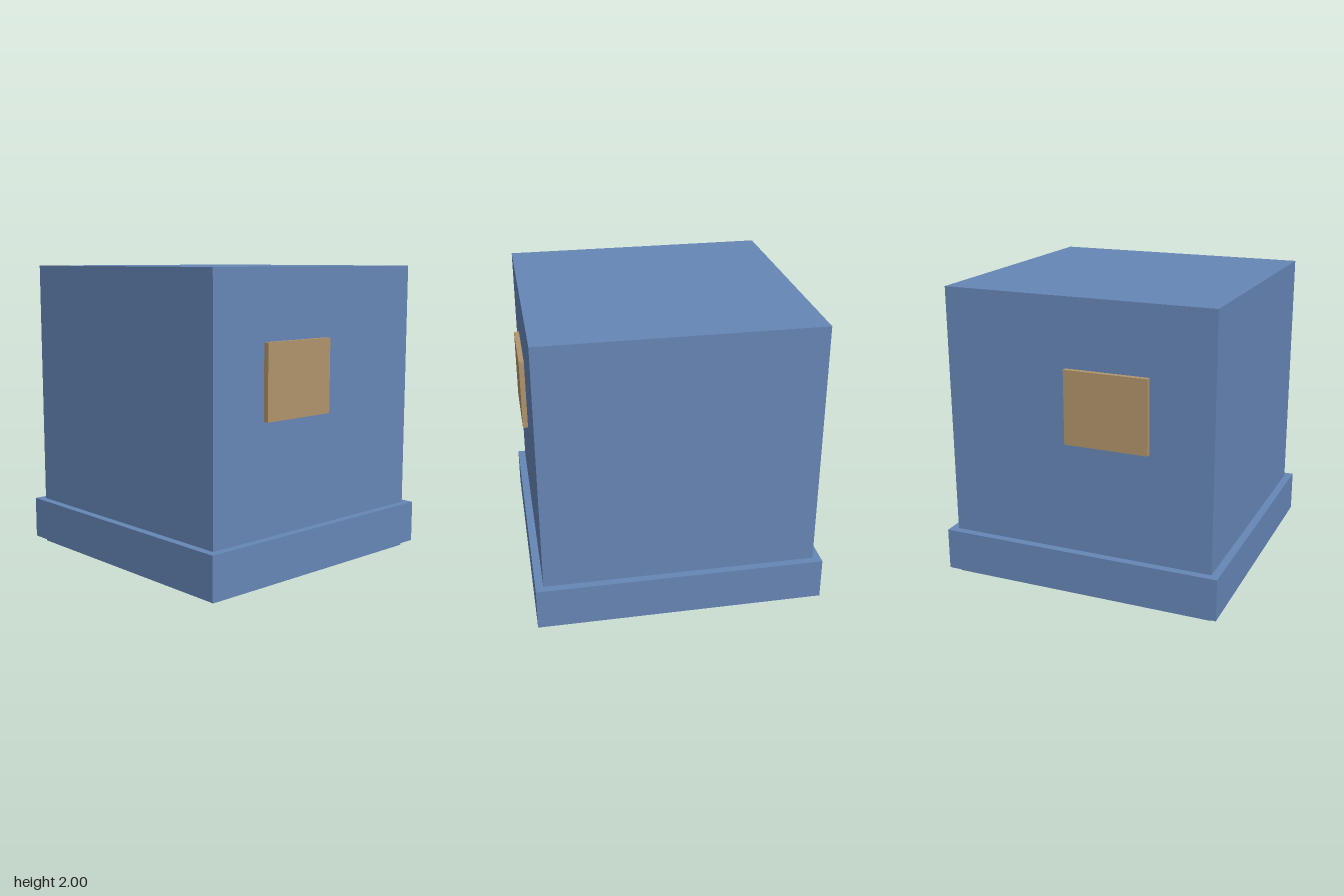
import * as THREE from 'three';

export function createModel() {
  const model = new THREE.Group();
  const blue = new THREE.MeshStandardMaterial({ color: 0x6686b6 });
  blue.name = 'blue';
  const tan = new THREE.MeshStandardMaterial({ color: 0xb0946c });
  tan.name = 'tan';

  // Box given by its size and centre
  function addBox(name, material, [w, h, d], [x, y, z]) {
    const mesh = new THREE.Mesh(new THREE.BoxGeometry(w, h, d), material);
    mesh.name = name;
    mesh.position.set(x, y, z);
    model.add(mesh);
  }

  // Main block and the wider band around its foot
  addBox('body', blue, [1.824, 2, 1.824], [0, 1, 0]);
  addBox('baseBand', blue, [1.93, 0.283, 1.93], [0, 0.178, 0]);

  // Raised panels, one on the front and one on the back
  for (const [name, side] of [['frontPanel', 1], ['backPanel', -1]]) {
    addBox(name, tan, [0.563, 0.49, 0.036], [-0.211, 1.302, side * 0.929]);
  }

  return model;
}
